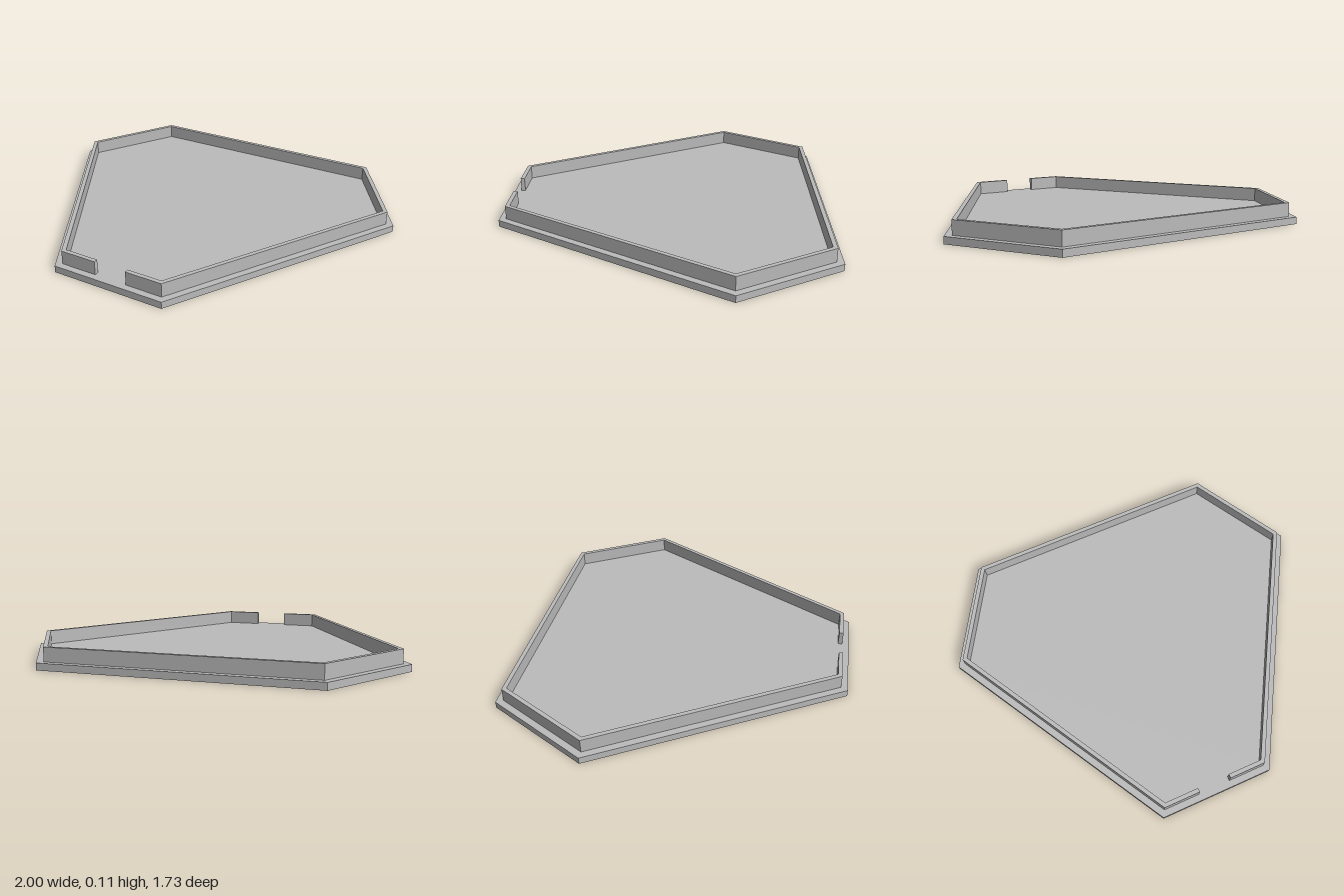
import * as THREE from 'three';

const BASE_TOP = 0.036, WALL_TOP = 0.108, RECESS = 0.015;

// Six-sided outline as [x, z], inset by o, counterclockwise from the front left corner
function outline(o) {
  const s = o * 0.577;
  const half = [[0.305 - s, 0.8625 - o], [1 - 2 * s, -0.3425], [0.7 - s, -0.8625 + o]];
  return [...half, ...half.map(([x, z]) => [-x, z]).reverse()];
}

// Arrow outline as [x, z], clockwise, pointing at the right long edge
function arrowOutline() {
  const c = Math.cos(Math.PI / 6), s = 0.5;
  return [[0.13, -0.085], [0.13, 0.085], [0.267, 0.085], [0.267, 0.172],
    [0.453, 0], [0.267, -0.172], [0.267, -0.085]]
    .map(([d, n]) => [-c * d + s * n, -0.114 + s * d + c * n]);
}

const shapeOf = (pts, flip = 1) =>
  new THREE.Shape(pts.map(([x, z]) => new THREE.Vector2(x, z * flip)));

// Vertical faces along a closed outline
function sides(pts, y0, y1) {
  const v = [];
  pts.forEach(([ax, az], i) => {
    const [bx, bz] = pts[(i + 1) % pts.length];
    v.push(ax, y0, az, bx, y0, bz, bx, y1, bz, ax, y0, az, bx, y1, bz, ax, y1, az);
  });
  const g = new THREE.BufferGeometry();
  g.setAttribute('position', new THREE.Float32BufferAttribute(v, 3));
  g.computeVertexNormals();
  return g;
}

const faceUp = (pts, y) =>
  new THREE.ShapeGeometry(shapeOf(pts, -1)).rotateX(-Math.PI / 2).translate(0, y, 0);

const faceDown = (shape, y) =>
  new THREE.ShapeGeometry(shape).rotateX(Math.PI / 2).translate(0, y, 0);

export function createModel() {
  const model = new THREE.Group();
  model.name = 'hexagonalLid';
  const grey = new THREE.MeshStandardMaterial({ color: 0xbcbcbc });
  grey.name = 'grey';
  const add = (name, geometry, parent) => {
    const mesh = new THREE.Mesh(geometry, grey);
    mesh.name = name;
    parent.add(mesh);
  };

  // Base plate, with an arrow sunk into the underside
  const base = new THREE.Group();
  base.name = 'basePlate';
  model.add(base);
  const rim = outline(0), arrow = arrowOutline();
  const under = shapeOf(rim);
  under.holes.push(shapeOf(arrow));
  add('baseTop', faceUp(rim, BASE_TOP), base);
  add('baseEdge', sides(rim, 0, BASE_TOP), base);
  add('baseUnderside', faceDown(under, 0), base);
  add('arrowRecessSides', sides(arrow, 0, RECESS), base);
  add('arrowRecessFloor', faceDown(shapeOf(arrow), RECESS), base);

  // Raised wall, open in the middle of the front
  const outer = outline(0.035), inner = outline(0.057), gap = 0.0875;
  const path = [
    [gap, outer[0][1]], ...outer, [-gap, outer[0][1]],
    [-gap, inner[0][1]], ...inner.reverse(), [gap, inner[0][1]],
  ];
  const wall = new THREE.ExtrudeGeometry(shapeOf(path, -1),
    { depth: WALL_TOP - BASE_TOP, bevelEnabled: false });
  add('wall', wall.rotateX(-Math.PI / 2).translate(0, BASE_TOP, 0), model);

  return model;
}
